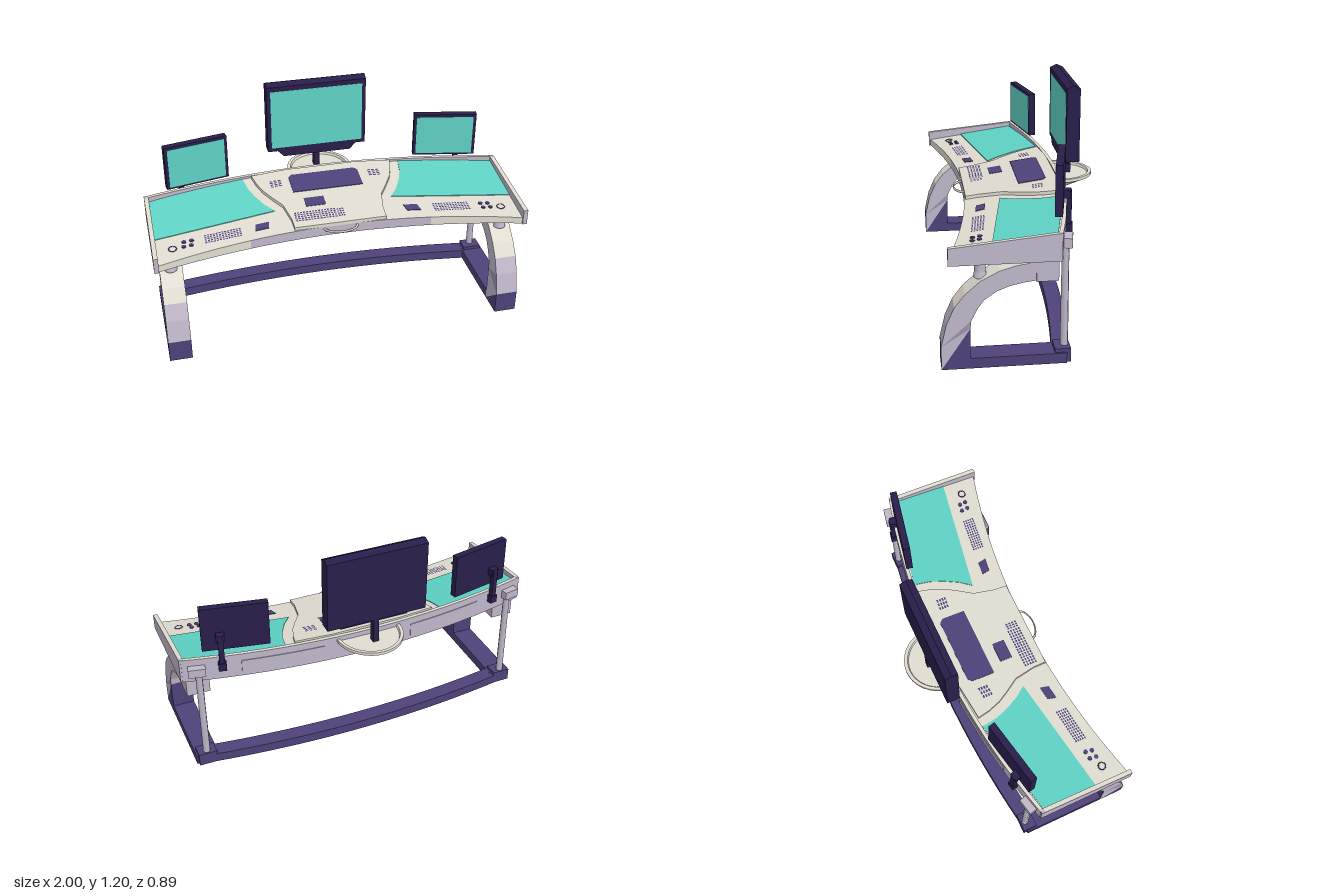
import * as THREE from 'three';
import { mergeGeometries } from 'three/addons/utils/BufferGeometryUtils.js';

const mat = (name, color, extra = {}) => {
  const m = new THREE.MeshStandardMaterial({ color, ...extra });
  m.name = name;
  return m;
};
const beige = mat('beige', 0xe0dcd1, { side: THREE.DoubleSide });
const lilac = mat('lilac', 0xc0b7ca);
const mauve = mat('mauve', 0x9d90aa);
const purple = mat('purple', 0x4e4279);
const dark = mat('darkViolet', 0x291e4a);
const teal = mat('teal', 0x5fd2c5);

// Joins matching cross-sections; pick(i, side, triangle) chooses the material of each face
function loft(name, sections, pick) {
  const choose = typeof pick === 'function' ? pick : () => pick;
  const bins = new Map();
  const tri = (m, ...pts) => {
    if (!bins.has(m)) bins.set(m, []);
    bins.get(m).push(...pts.flat());
  };
  const n = sections[0].length, last = sections.length - 1;
  for (let i = 0; i < last; i++) {
    for (let k = 0; k < n; k++) {
      const a = sections[i][k], b = sections[i][(k + 1) % n];
      const c = sections[i + 1][(k + 1) % n], d = sections[i + 1][k];
      tri(choose(i, k, 0), a, b, c);
      tri(choose(i, k, 1), a, c, d);
    }
  }
  for (let k = 1; k < n - 1; k++) {
    const s = sections[0], e = sections[last];
    tri(choose(0, 1, 0), s[0], s[k + 1], s[k]);
    tri(choose(last - 1, 1, 1), e[0], e[k], e[k + 1]);
  }
  const geo = new THREE.BufferGeometry(), all = [], mats = [...bins.keys()];
  mats.forEach((m, j) => {
    const p = bins.get(m);
    geo.addGroup(all.length / 3, p.length / 3, j);
    for (const v of p) all.push(v);
  });
  geo.setAttribute('position', new THREE.Float32BufferAttribute(all, 3));
  geo.computeVertexNormals();
  const mesh = new THREE.Mesh(geo, mats);
  mesh.name = name;
  return mesh;
}

// Stations along x, each with a (z, y) cross-section
const alongX = (x0, x1, steps, section) => Array.from({ length: steps + 1 }, (_, i) => {
  const x = x0 + (x1 - x0) * i / steps;
  return section(x).map(([z, y]) => [x, y, z]);
});

function mesh(name, geo, material, x = 0, y = 0, z = 0) {
  const m = new THREE.Mesh(geo, material);
  m.name = name;
  m.position.set(x, y, z);
  return m;
}
const box = (name, material, w, h, d, x, y, z) => mesh(name, new THREE.BoxGeometry(w, h, d), material, x, y, z);

// Desk outline and sloping top
const SLOPE = 0.14;
const deskY = z => 0.638 - SLOPE * z;
const frontZ = x => 0.27 + 0.14 * x * x;
const backZ = x => -0.25 + 0.13 * x * x;

// Flat plate following the slope of the desk; points are (x, z)
function deskPlate(name, points, thick, lift, material) {
  const shape = new THREE.Shape(points.map(([x, z]) => new THREE.Vector2(x, -z)));
  const geo = new THREE.ExtrudeGeometry(shape, { depth: thick, bevelEnabled: false });
  geo.rotateX(-Math.PI / 2);
  const p = geo.attributes.position;
  for (let i = 0; i < p.count; i++) p.setY(i, p.getY(i) + deskY(p.getZ(i)) + lift);
  geo.computeVertexNormals();
  return mesh(name, geo, material);
}

// Rows of small flat key faces on the desk top
function keys(name, cx, cz, w, d, cols, rows, lift, skew = 0) {
  const parts = [];
  for (let r = 0; r < rows; r++) for (let c = 0; c < cols; c++) {
    const x = cx + w * ((c + 0.5) / cols - 0.5);
    const z = cz + d * ((r + 0.5) / rows - 0.5) + skew * (x - cx);
    parts.push(new THREE.PlaneGeometry(w / cols * 0.68, d / rows * 0.62)
      .rotateX(SLOPE - Math.PI / 2).translate(x, deskY(z) + lift, z));
  }
  return mesh(name, mergeGeometries(parts), purple);
}

function buildDesk(g) {
  g.add(loft('deskTop', alongX(-0.98, 0.98, 24, x => {
    const f = frontZ(x), b = backZ(x) + 0.01;
    return [[f, 0.545], [b, 0.545], [b, deskY(b)], [f, deskY(f)]];
  }), (i, k) => (k === 0 || (k === 3 && Math.abs(i - 11.5) < 6) ? lilac : beige)));
  g.add(loft('backRim', alongX(-0.99, 0.99, 24, x => {
    const z = backZ(x);
    return [[z + 0.02, 0.543], [z, 0.543], [z, 0.68], [z + 0.02, 0.68]];
  }), (i, k) => (k === 2 ? beige : lilac)));
  for (const s of [-1, 1]) {
    const e = s * 0.988;
    g.add(loft('sideRim', alongX(e - 0.012, e + 0.012, 1, () =>
      [[0.412, 0.544], [-0.12, 0.544], [-0.12, 0.681], [-0.1, 0.681], [0.412, 0.63]]), (i, k) => (k === 3 ? beige : lilac)));
    const c = s * 0.47;
    g.add(loft('backCover', alongX(c - 0.22, c + 0.22, 6, x => {
      const z = backZ(x);
      return [[z + 0.005, 0.565], [z - 0.004, 0.565], [z - 0.004, 0.64], [z + 0.005, 0.64]];
    }), lilac));

    // Wing screens and controls
    const m = pts => pts.map(([x, z]) => [s * x, z]);
    g.add(deskPlate('wingScreen', m([[0.975, -0.1], [0.72, -0.155], [0.45, -0.2], [0.435, -0.11],
      [0.41, -0.04], [0.37, 0.04], [0.325, 0.1], [0.65, 0.155], [0.975, 0.21]]), 0.004, 0.001, teal));
    g.add(deskPlate('wingPad', m([[0.37, 0.18], [0.445, 0.19], [0.455, 0.238], [0.38, 0.228]]), 0.003, 0.001, purple));
    g.add(keys('wingKeys', s * 0.625, 0.24, 0.2, 0.068, 13, 5, 0.002, s * 0.12));
    g.add(keys('sideKeys', s * 0.28, -0.105, 0.07, 0.06, 3, 4, 0.02, s * 0.1));
    for (const [x, z] of [[0.79, 0.245], [0.83, 0.25], [0.795, 0.28], [0.835, 0.285]]) {
      g.add(mesh('knob', new THREE.CylinderGeometry(0.012, 0.012, 0.008, 10), purple, s * x, deskY(z) + 0.001, z));
    }
    const ring = mesh('dialRing', new THREE.TorusGeometry(0.02, 0.003, 5, 18), purple, s * 0.893, deskY(0.29), 0.29);
    ring.rotation.x = Math.PI / 2 + SLOPE;
    g.add(ring);
  }

  // Raised centre console
  const half = [[0.25, 0.272], [0.252, 0.2], [0.275, 0.08], [0.32, 0.01], [0.36, -0.06], [0.385, -0.13], [0.4, -0.2], [0.2, -0.222]];
  g.add(deskPlate('centreConsole', [...half, ...half.map(([x, z]) => [-x, z]).reverse()], 0.02, -0.002, beige));
  g.add(deskPlate('consoleDisplay', [[-0.2, -0.015], [0.195, -0.015], [0.195, -0.145], [0.175, -0.165],
    [-0.18, -0.165], [-0.2, -0.145]], 0.004, 0.017, purple));
  g.add(deskPlate('trackpad', [[-0.155, 0.115], [-0.045, 0.115], [-0.045, 0.045], [-0.155, 0.045]], 0.003, 0.017, purple));
  g.add(keys('keyboard', -0.12, 0.192, 0.23, 0.078, 14, 5, 0.02));
  g.add(keys('numberKeys', 0.018, 0.195, 0.04, 0.07, 3, 4, 0.02));

  // Front handle loop
  const loop = mesh('frontHandle', new THREE.TorusGeometry(0.09, 0.007, 6, 20, Math.PI), beige, 0, 0.587, 0.265);
  loop.rotation.x = Math.PI / 2;
  loop.scale.y = 0.6;
  g.add(loop);

  // Half-round shelf behind the desk
  const profile = [[0, 0.55], [0.165, 0.64], [0.182, 0.648], [0.182, 0.665], [0.165, 0.665], [0.16, 0.652], [0, 0.652]];
  const shelf = new THREE.LatheGeometry(profile.map(p => new THREE.Vector2(...p)), 18, Math.PI / 2, Math.PI).toNonIndexed();
  shelf.computeVertexNormals();
  const m = mesh('backShelf', shelf, beige, 0, 0, -0.247);
  m.scale.z = 1.08;
  g.add(m);
}

function buildFrame(g) {
  // Arched leg: outer and inner (z, y) pairs from floor to desk
  const arch = [[0.45, 0, 0.31, 0], [0.45, 0.12, 0.31, 0.21], [0.423, 0.235, 0.305, 0.25], [0.385, 0.32, 0.275, 0.31],
    [0.335, 0.385, 0.245, 0.352], [0.26, 0.45, 0.185, 0.395], [0.17, 0.497, 0.12, 0.42], [0.09, 0.52, 0.06, 0.433], [-0.01, 0.535, -0.01, 0.442]];
  for (const s of [-1, 1]) {
    const x = s * 0.91;
    g.add(loft('archedLeg', arch.map(([oz, oy, iz, iy]) =>
      [[x - 0.06, oy, oz], [x + 0.06, oy, oz], [x + 0.06, iy, iz], [x - 0.06, iy, iz]]),
    (i, k, t) => {
      if (i === 0 && (k === 0 || k === 2 || t === 0)) return purple;
      if (i === 1 && k % 2 === 1 && t === 0) return mauve;
      return k === 0 && i > 2 ? beige : lilac;
    }));
    g.add(box('legBracket', lilac, 0.125, 0.112, 0.106, x, 0.491, -0.056));
    g.add(mesh('legSupport', new THREE.CylinderGeometry(0.027, 0.027, 0.1, 12), lilac, x, 0.5, 0.257));
    g.add(mesh('supportCollar', new THREE.CylinderGeometry(0.027, 0.034, 0.03, 12), lilac, x, 0.465, 0.257));
    g.add(box('baseRail', purple, 0.12, 0.053, 0.47, x, 0.0265, 0.08));
    g.add(box('postFoot', purple, 0.1, 0.072, 0.078, x, 0.036, -0.136));
    g.add(mesh('rearPost', new THREE.CylinderGeometry(0.018, 0.02, 0.55, 8), lilac, x, 0.335, -0.148));
    const cap = box('postCap', lilac, 0.09, 0.048, 0.05, s * 0.92, 0.617, -0.155);
    cap.rotation.y = -s * 0.2;
    g.add(cap);
  }
  g.add(loft('crossBar', alongX(-0.9, 0.9, 16, x => {
    const z = -0.24 + 0.085 * x * x;
    return [[z + 0.085, 0], [z, 0], [z, 0.052], [z + 0.085, 0.052]];
  }), purple));
}

function buildMonitors(g) {
  // Centre monitor with a ridged top edge
  g.add(loft('mainMonitor', alongX(-0.29, 0.267, 1, () =>
    [[-0.257, 0.79], [-0.328, 0.79], [-0.328, 1.182], [-0.292, 1.198], [-0.257, 1.182]]), dark));
  g.add(box('mainScreen', teal, 0.515, 0.345, 0.003, -0.011, 0.983, -0.257));
  const chin = new THREE.Shape([[-0.24, 0.795], [-0.2, 0.753], [0.18, 0.753], [0.217, 0.795]].map(p => new THREE.Vector2(...p)));
  g.add(mesh('monitorChin', new THREE.ExtrudeGeometry(chin, { depth: 0.03, bevelEnabled: false }), dark, 0, 0, -0.288));
  g.add(box('mainStand', dark, 0.032, 0.16, 0.034, -0.005, 0.73, -0.311));

  // Angled side monitors on brackets behind the desk
  for (const s of [-1, 1]) {
    const side = new THREE.Group();
    side.name = 'sideMonitor';
    side.position.set(s * 0.703, 0.842, -0.155);
    side.rotation.y = -s * 0.2;
    side.add(box('monitorCase', dark, 0.35, 0.252, 0.037, 0, 0, 0));
    side.add(box('monitorScreen', teal, 0.318, 0.226, 0.003, 0, -0.003, 0.0185));
    side.add(box('monitorMount', dark, 0.045, 0.04, 0.034, s * 0.08, -0.04, -0.034));
    side.add(box('monitorPost', dark, 0.028, 0.21, 0.026, s * 0.08, -0.125, -0.044));
    side.add(box('monitorFoot', dark, 0.042, 0.045, 0.04, s * 0.08, -0.21, -0.042));
    g.add(side);
  }
}

export function createModel() {
  const g = new THREE.Group();
  g.name = 'controlDesk';
  buildDesk(g);
  buildFrame(g);
  buildMonitors(g);
  return g;
}
